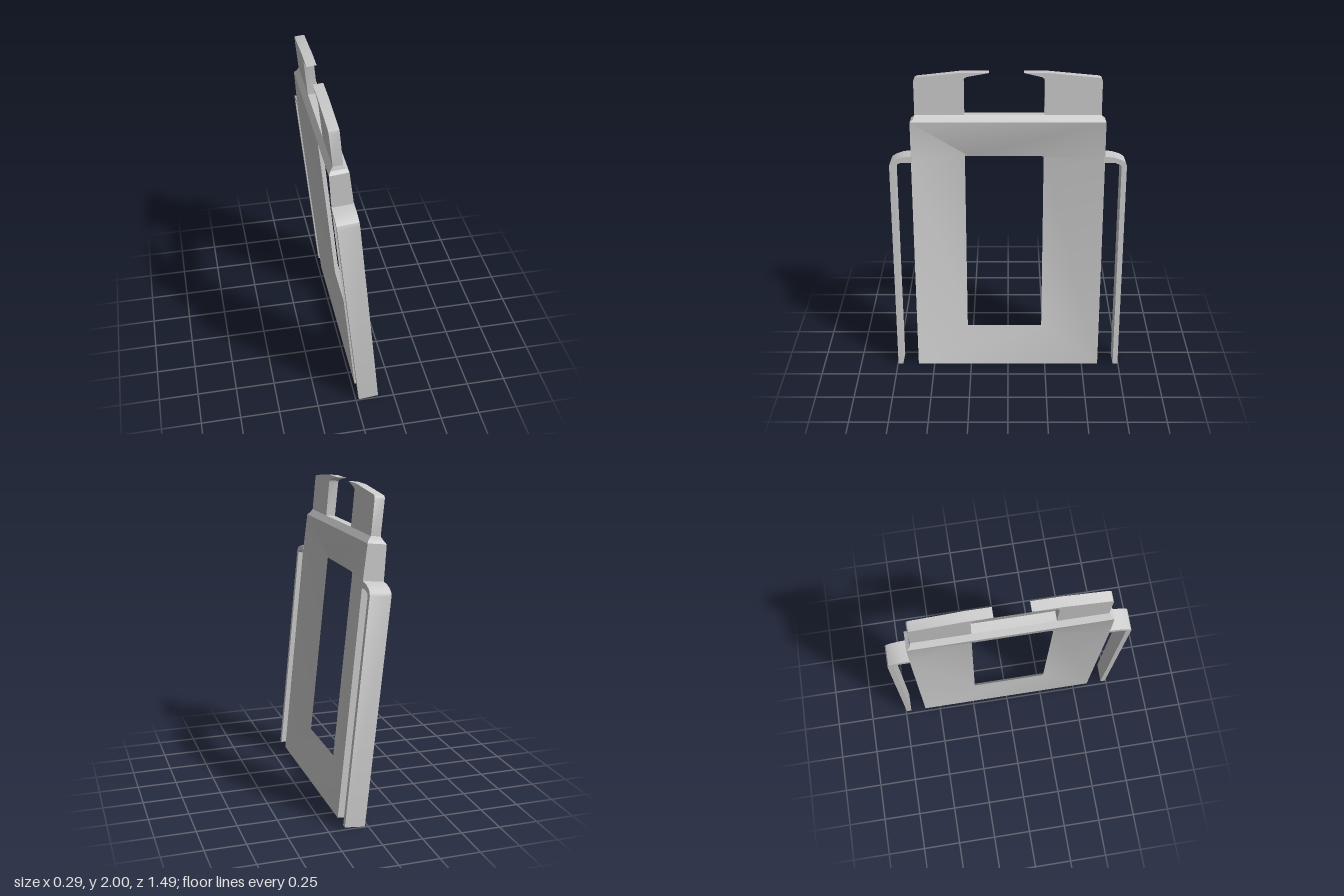
import * as THREE from 'three';
import { toCreasedNormals } from 'three/addons/utils/BufferGeometryUtils.js';

const material = new THREE.MeshStandardMaterial({ color: 0xcccccc });
const TILT = 0.1; // drop in y per unit of x, square to the leaning faces

// Levels along the lean: [y, xLeft, xRight]
const foot = [0.013, 0.02, 0.147], neck = [1.45, -0.13, 0.002];
const shoulder = [1.7, -0.147, -0.03], ledge = [1.737, -0.12, -0.06];
const crown = [2.0, -0.147, -0.085];

// Point at height y between two levels; t runs from the left face to the right
function place(a, y, t, [y0, l0, r0], [y1, l1, r1]) {
  const k = (y - y0) / (y1 - y0);
  const left = l0 + (l1 - l0) * k, right = r0 + (r1 - r0) * k;
  const x = left + (right - left) * t;
  return [x, y - TILT * (right - x), -a];
}

function makeMesh(name, geo) {
  const mesh = new THREE.Mesh(toCreasedNormals(geo, 0.5), material);
  mesh.name = name;
  return mesh;
}

// Extrudes an outline of [-z, y] points from the left face to the right face
function slab(name, outline, low, high) {
  const shape = new THREE.Shape(outline.map(([a, y]) => new THREE.Vector2(a, y)));
  const geo = new THREE.ExtrudeGeometry(shape, { depth: 1, bevelEnabled: false });
  const p = geo.attributes.position;
  for (let i = 0; i < p.count; i++) {
    p.setXYZ(i, ...place(p.getX(i), p.getY(i), p.getZ(i), low, high));
  }
  return makeMesh(name, geo);
}

// Ring whose faces slope together from a thick rim to a sharp window edge
function dishedFrame(name, rim, edge) {
  const levels = (y) => (y > neck[0] ? [neck, shoulder] : [foot, neck]);
  const points = [], index = [];
  const quad = (a, b, c, d) => index.push(a, b, c, a, c, d);
  const n = rim.length;
  rim.forEach(([a, y], i) => {
    const [ea, ey] = edge[i];
    const inner = place(ea, ey, 0.45, ...levels(ey));
    inner[1] = ey;
    points.push(...place(a, y, 0, ...levels(y)), ...place(a, y, 1, ...levels(y)), ...inner);
    const c = i * 3, d = ((i + 1) % n) * 3;
    quad(c + 1, d + 1, d + 2, c + 2); // right face
    quad(d, c, c + 2, d + 2);         // left face
    quad(c + 1, c, d, d + 1);         // rim wall
  });
  const geo = new THREE.BufferGeometry();
  geo.setAttribute('position', new THREE.Float32BufferAttribute(points, 3));
  geo.setIndex(index);
  return makeMesh(name, geo);
}

export function createModel() {
  const group = new THREE.Group();
  group.name = 'leaningFrame';
  const W = 0.607, winL = -0.272, winR = 0.225;

  // Main frame around the window, with chamfered upper window corners
  group.add(dishedFrame('windowFrame',
    [[-W, foot[0]], [W, foot[0]], [W, 1.45], [W, 1.7], [-W, 1.7], [-W, 1.45]],
    [[winL, 0.262], [winR, 0.262], [winR, 1.476], [winR - 0.025, 1.457],
      [winL + 0.025, 1.457], [winL, 1.476]]));

  // Sloped shoulder from the thick frame to the thin ears
  group.add(slab('shoulderBevel', [
    [-W, 1.7], [W, 1.7], [0.586, 1.715], [0.578, 1.737],
    [-0.578, 1.737], [-0.586, 1.715],
  ], shoulder, ledge));

  // Two hooked ears; side is the direction along -z
  for (const [name, side, inner, tip] of [['frontEar', -1, 0.272, 0.115], ['backEar', 1, 0.225, 0.098]]) {
    group.add(slab(name, [
      [0.578, 1.737], [0.578, 1.95], [0.572, 1.965], [0.558, 1.971],
      [inner + 0.02, 2.0], [tip, 2.0], [inner - 0.02, 1.975],
      [inner - 0.004, 1.965], [inner, 1.95], [inner, 1.737],
    ].map(([a, y]) => [a * side, y]), ledge, crown));
  }

  // Long side arms hanging from rounded elbows
  for (const [name, side] of [['frontArm', -1], ['backArm', 1]]) {
    group.add(slab(name, [
      [0.6, 1.484], [0.66, 1.478], [0.71, 1.462], [0.737, 1.445], [0.745, 1.425],
      [0.745, foot[0]], [0.712, foot[0]], [0.712, 1.42], [0.705, 1.428],
      [0.67, 1.443], [0.6, 1.443],
    ].map(([a, y]) => [a * side, y]), foot, neck));
  }
  return group;
}
